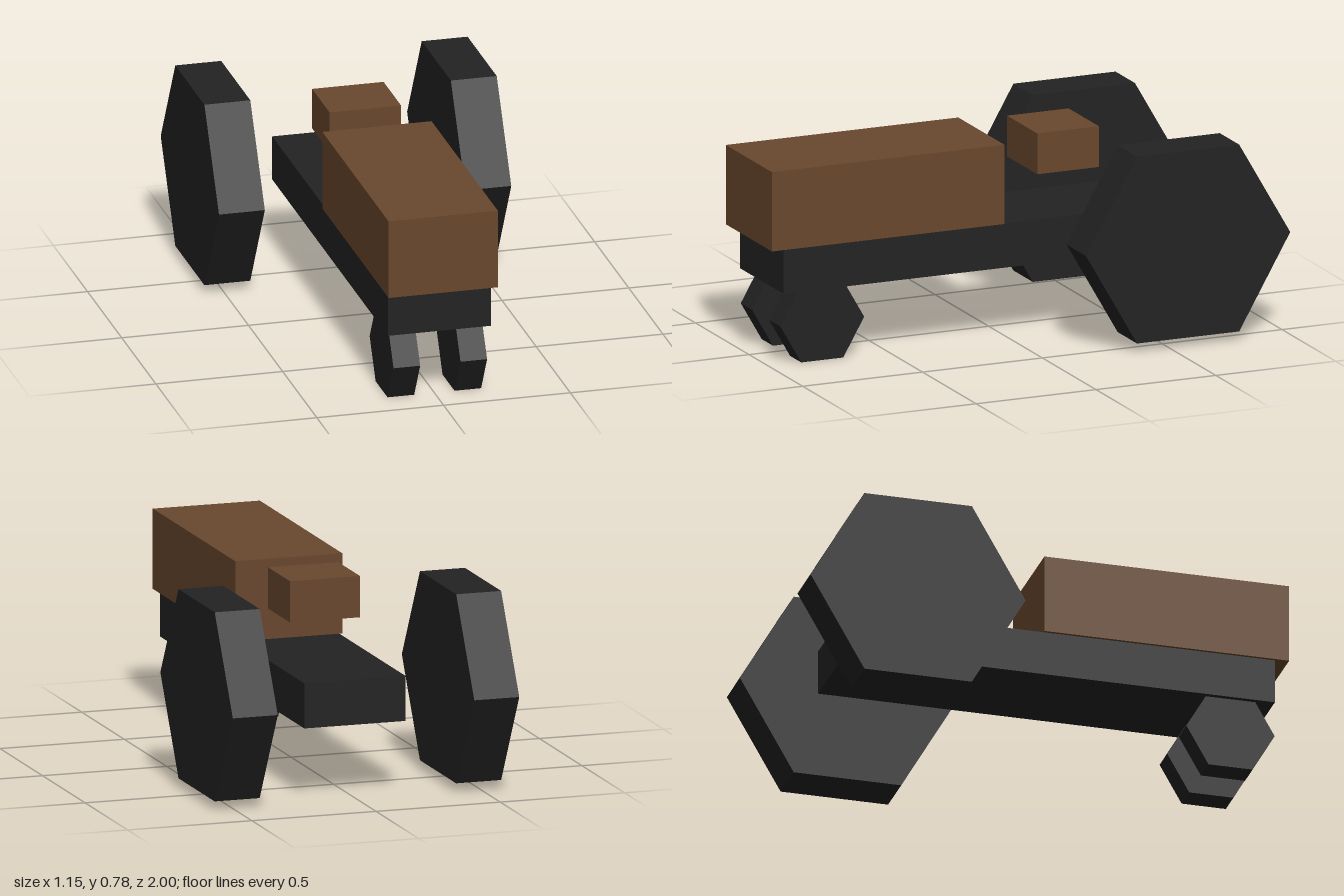
import * as THREE from 'three';

export function createModel() {
  const model = new THREE.Group();
  model.name = 'tractor';

  const brown = new THREE.MeshStandardMaterial({ color: 0x69472d });
  brown.name = 'brown';
  const black = new THREE.MeshStandardMaterial({ color: 0x232323 });
  black.name = 'black';

  // Box given by its extents on each axis
  function addBox(name, material, [x0, x1], [y0, y1], [z0, z1]) {
    const mesh = new THREE.Mesh(new THREE.BoxGeometry(x1 - x0, y1 - y0, z1 - z0), material);
    mesh.position.set((x0 + x1) / 2, (y0 + y1) / 2, (z0 + z1) / 2);
    mesh.name = name;
    model.add(mesh);
  }

  // Six-sided wheel with its axle along x and a corner pointing forward
  function addWheel(name, radius, width, x, y, z) {
    const geometry = new THREE.CylinderGeometry(radius, radius, width, 6).toNonIndexed();
    geometry.rotateZ(Math.PI / 2);
    geometry.computeVertexNormals();
    const mesh = new THREE.Mesh(geometry, black);
    mesh.position.set(x, y, z);
    mesh.name = name;
    model.add(mesh);
  }

  // Body
  addBox('chassis', black, [-0.205, 0.202], [0.285, 0.461], [-0.747, 0.947]);
  addBox('hood', brown, [-0.217, 0.214], [0.461, 0.774], [0.03, 1]);
  addBox('seat', brown, [-0.142, 0.14], [0.62, 0.781], [-0.397, -0.14]);

  // Wheels, large at the back and small at the front
  for (const [side, sign] of [['left', 1], ['right', -1]]) {
    addWheel(side + 'RearWheel', 0.426, 0.181, sign * 0.486, 0.405, -0.574);
    addWheel(side + 'FrontWheel', 0.175, 0.105, sign * 0.132, 0.152, 0.777);
  }

  return model;
}
